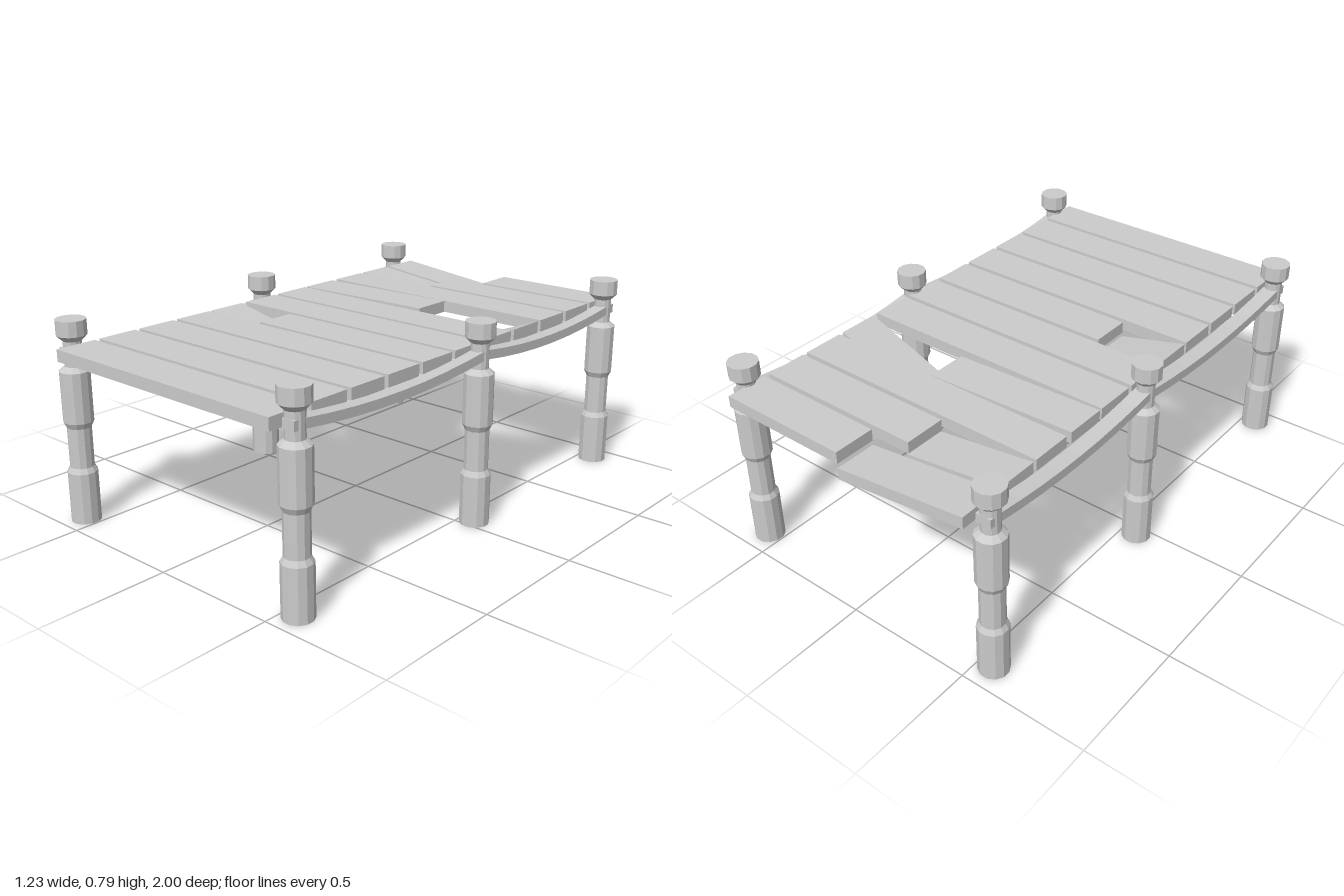
import * as THREE from 'three';

const POST_X = 0.56;
const POST_Z = [0.91, -0.04, -0.905];

const material = new THREE.MeshStandardMaterial({ color: 0xcccccc, flatShading: true });

function addMesh(parent, geometry, name) {
  const mesh = new THREE.Mesh(geometry, material);
  mesh.name = name;
  parent.add(mesh);
  return mesh;
}

// Twelve-sided post with a thinner waist, a narrow neck and a wide cap
function postGeometry() {
  const profile = [
    [0, 0], [0.057, 0], [0.057, 0.2], [0.046, 0.22], [0.046, 0.375],
    [0.057, 0.398], [0.057, 0.592], [0.035, 0.61], [0.035, 0.705],
    [0.057, 0.727], [0.057, 0.785], [0, 0.785],
  ].map(([r, y]) => new THREE.Vector2(r, y));
  return new THREE.LatheGeometry(profile, 12, Math.PI / 12);
}

// Rail that sags between each pair of posts
function railGeometry() {
  const steps = 8, height = 0.035, top = 0.68, sag = 0.032, end = 0.035;
  const line = [[POST_Z[0] + end, top]];
  for (let s = 0; s < 2; s++) {
    for (let i = s; i <= steps; i++) {
      const t = i / steps;
      line.push([
        THREE.MathUtils.lerp(POST_Z[s], POST_Z[s + 1], t),
        top - 4 * sag * t * (1 - t),
      ]);
    }
  }
  line.push([POST_Z[2] - end, top]);
  const under = line.map(([z, y]) => [z, y - height]).reverse();
  const shape = new THREE.Shape([...line, ...under].map(([z, y]) => new THREE.Vector2(z, y)));
  const geo = new THREE.ExtrudeGeometry(shape, { depth: 0.06, bevelEnabled: false });
  return geo.translate(0, 0, -0.03).rotateY(-Math.PI / 2);
}

// Board from x0 to x1; its ends can drop (y) and drift (z), keeping upright cuts
function boardGeometry(x0, x1, z, { drop = [0, 0], drift = [0, 0] } = {}) {
  const geo = new THREE.BoxGeometry(x1 - x0, 0.046, 0.164);
  geo.translate((x0 + x1) / 2, 0.673, z);
  const p = geo.attributes.position;
  for (let i = 0; i < p.count; i++) {
    const e = p.getX(i) > (x0 + x1) / 2 ? 1 : 0;
    p.setY(i, p.getY(i) - drop[e]);
    p.setZ(i, p.getZ(i) + drift[e]);
  }
  geo.computeVertexNormals();
  return geo;
}

export function createModel() {
  const model = new THREE.Group();
  model.name = 'dock';

  // Posts and rails on both sides
  const post = postGeometry();
  const rail = railGeometry();
  for (const side of [1, -1]) {
    const sideName = side > 0 ? 'left' : 'right';
    for (const z of POST_Z) addMesh(model, post, sideName + 'Post').position.set(side * POST_X, 0, z);
    addMesh(model, rail, sideName + 'Rail').position.x = side * POST_X;
  }

  // Deck boards, back to front; some are snapped into two pieces
  const L = -0.527, R = 0.54;
  const broken = {
    0: [[L, 0.005, { drop: [0, 0.06], drift: [0.004, -0.004] }], [0.008, R]],
    1: [[L, -0.135, { drop: [0, 0.045], drift: [0.004, -0.006] }], [-0.138, R]],
    3: [[L, 0.075, { drift: [0.008, -0.018] }], [0.095, R, { drop: [0.17, 0] }]],
    6: [[L, -0.255, { drop: [0, 0.06], drift: [0.006, -0.003] }], [-0.255, R]],
  };
  const deck = new THREE.Group();
  deck.name = 'deck';
  model.add(deck);
  for (let i = 0; i < 11; i++) {
    const z = -0.918 + i * 0.1836;
    for (const [x0, x1, bend] of broken[i] || [[L, R]]) {
      addMesh(deck, boardGeometry(x0, x1, z, bend), broken[i] ? 'brokenBoard' : 'board');
    }
  }
  return model;
}
